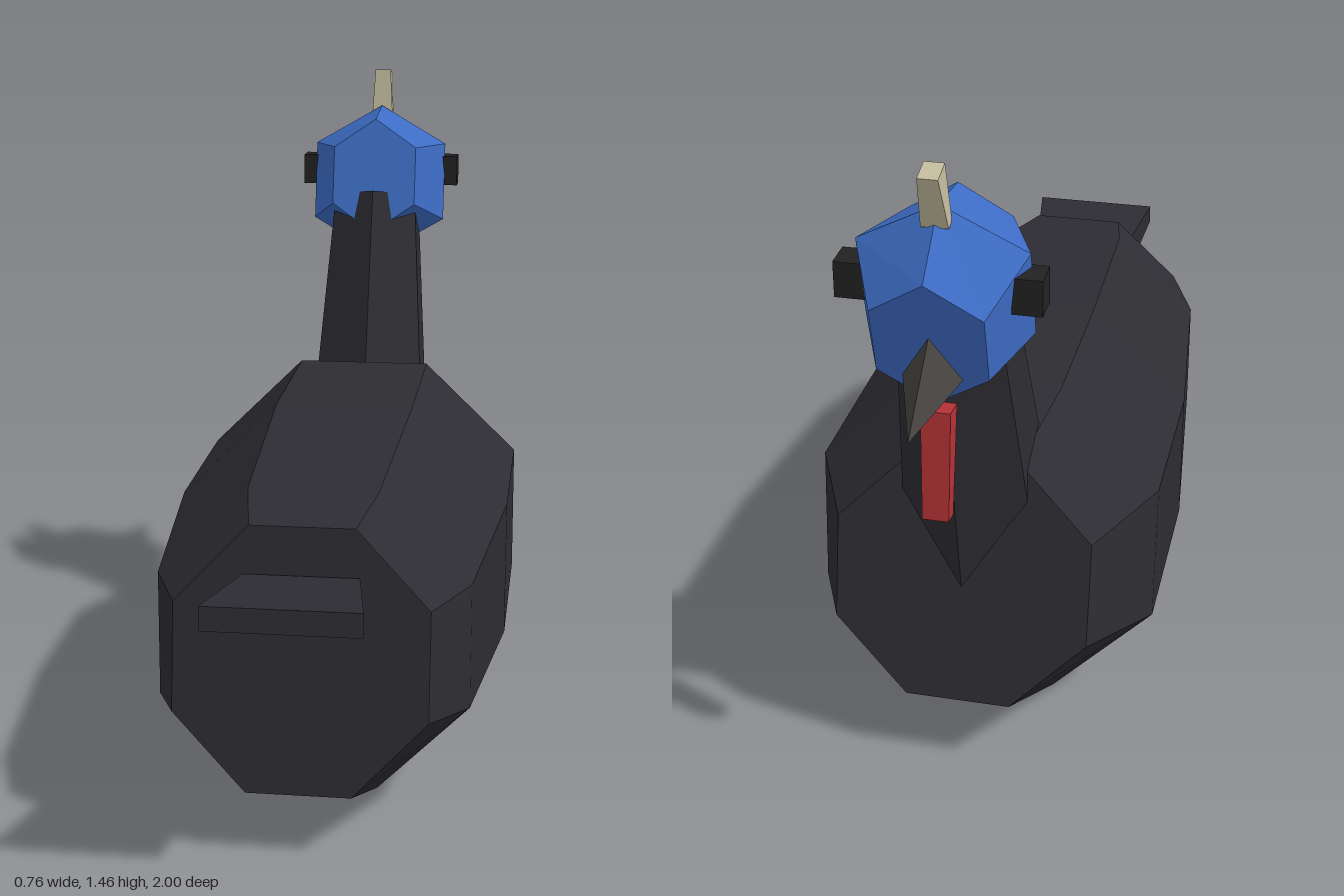
import * as THREE from 'three';

// Regular n-sided cross-section in the x / tilted-up plane. At tilt 0 it faces -z.
function ring(n, rx, rv, y, z, tilt, turn = 0) {
  return Array.from({ length: n }, (_, i) => {
    const a = (i / n) * Math.PI * 2 + turn;
    const v = rv * Math.cos(a);
    return [rx * Math.sin(a), y + v * Math.cos(tilt), z - v * Math.sin(tilt)];
  });
}

// Four- and eight-sided sections measured to their flats
const flat = (n, hw, hv, y, z, tilt) => {
  const k = 1 / Math.cos(Math.PI / n);
  return ring(n, hw * k, hv * k, y, z, tilt, Math.PI / n);
};

// Closed, faceted skin through a series of sections
function loft(name, color, rings) {
  const pos = [];
  const tri = (...pts) => pts.forEach((p) => pos.push(...p));
  const n = rings[0].length;
  const centre = (r) => [0, 1, 2].map((k) => r.reduce((s, p) => s + p[k], 0) / n);
  const first = rings[0], last = rings[rings.length - 1];
  for (let i = 0; i < n; i++) {
    const j = (i + 1) % n;
    for (let r = 0; r < rings.length - 1; r++) {
      const a = rings[r], b = rings[r + 1];
      tri(a[i], a[j], b[i]);
      tri(a[j], b[j], b[i]);
    }
    tri(centre(first), first[j], first[i]);
    tri(centre(last), last[i], last[j]);
  }
  const geo = new THREE.BufferGeometry();
  geo.setAttribute('position', new THREE.Float32BufferAttribute(pos, 3));
  geo.computeVertexNormals();
  const mesh = new THREE.Mesh(geo, new THREE.MeshStandardMaterial({ color, flatShading: true }));
  mesh.name = name;
  return mesh;
}

export function createModel() {
  const model = new THREE.Group();
  model.name = 'bird';
  const plumage = 0x2d2c32;

  // Octagonal body, from rump to breast
  model.add(loft('body', plumage, [
    flat(8, 0.26, 0.273, 0.41, 0.76, 0.147),
    flat(8, 0.33, 0.325, 0.385, 0.57, 0.03),
    flat(8, 0.38, 0.378, 0.383, 0.06, 0),
    flat(8, 0.38, 0.379, 0.397, -0.375, -0.09),
    flat(8, 0.275, 0.281, 0.445, -0.628, -0.206),
  ]));

  // Flared tail wedge
  model.add(loft('tail', plumage, [
    flat(4, 0.155, 0.024, 0.584, 0.997, 0.1),
    flat(4, 0.118, 0.055, 0.53, 0.747, 0.13),
  ]));

  // Six-sided leaning neck
  model.add(loft('neck', plumage, [
    ring(6, 0.18, 0.19, 0.35, -0.422, -1.3),
    ring(6, 0.118, 0.121, 1.148, -0.646, -1.3),
  ]));

  // Six-sided head, from nape to face
  model.add(loft('head', 0x3d6cc4, [
    ring(6, 0.121, 0.145, 1.215, -0.56, 0.25),
    ring(6, 0.196, 0.198, 1.185, -0.7, 0.25),
    ring(6, 0.127, 0.148, 1.127, -0.838, 0.25),
  ]));

  // Three-sided beak
  model.add(loft('beak', 0x45423f, [
    ring(3, 0.07, 0.07, 1.085, -0.82, 0.2),
    ring(3, 0.001, 0.001, 1.015, -1, 0.2),
  ]));

  // Hanging wattle
  model.add(loft('wattle', 0xb53235, [
    flat(4, 0.03, 0.026, 0.962, -0.78, 1.455),
    flat(4, 0.027, 0.018, 0.727, -0.807, 1.455),
  ]));

  // Crest on the crown
  model.add(loft('crest', 0xc6bd9f, [
    flat(4, 0.027, 0.013, 1.345, -0.766, -1.35),
    flat(4, 0.02, 0.027, 1.463, -0.795, -1.35),
  ]));

  // Block eyes
  for (const side of [-1, 1]) {
    const eye = new THREE.Mesh(
      new THREE.BoxGeometry(0.06, 0.075, 0.066),
      new THREE.MeshStandardMaterial({ color: 0x222222, flatShading: true })
    );
    eye.name = side > 0 ? 'leftEye' : 'rightEye';
    eye.position.set(side * 0.172, 1.212, -0.738);
    model.add(eye);
  }
  return model;
}
